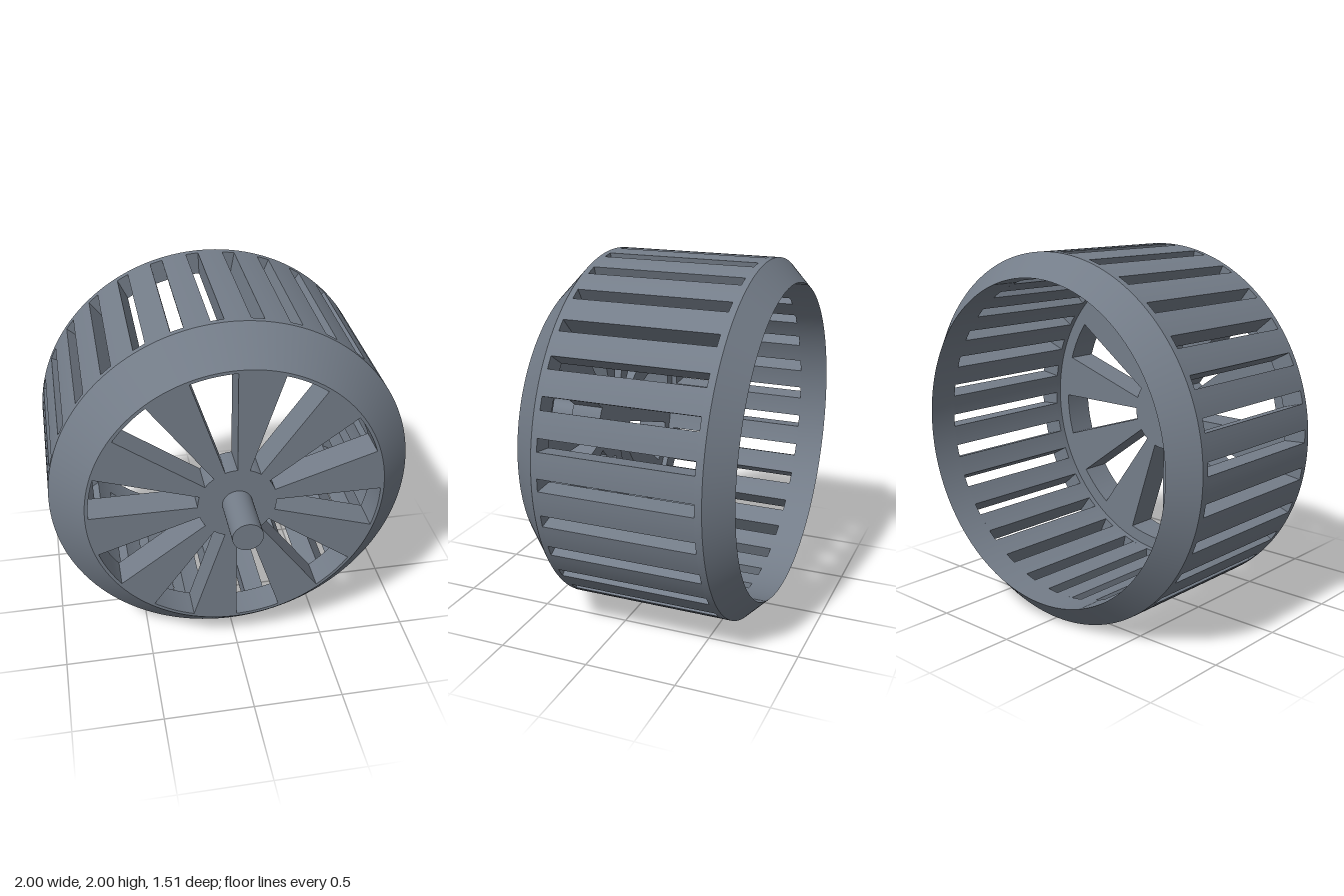
import * as THREE from 'three';
import { toCreasedNormals } from 'three/addons/utils/BufferGeometryUtils.js';

const STEP = 2; // degrees per facet, shared so that all round parts line up
const material = new THREE.MeshStandardMaterial({ color: 0x747d89 });

// Points along an arc, angles in degrees
function arc(r, from, to) {
  const n = Math.round(Math.abs(to - from) / STEP);
  return Array.from({ length: n + 1 }, (_, i) => {
    const a = THREE.MathUtils.degToRad(from + ((to - from) * i) / n);
    return new THREE.Vector2(r * Math.cos(a), r * Math.sin(a));
  });
}

// Outline of a ring sector; the inner arc may start at its own angle
const sector = (r0, r1, a0, a1, innerStart = a0) => [...arc(r1, a0, a1), ...arc(r0, a1, innerStart)];

function addMesh(parent, name, geometry) {
  const mesh = new THREE.Mesh(toCreasedNormals(geometry, 0.5), material);
  mesh.name = name;
  parent.add(mesh);
  return mesh;
}

// Flat outline extruded along z between two depths
function extrude(shape, z0, z1) {
  return new THREE.ExtrudeGeometry(shape, { depth: z1 - z0, bevelEnabled: false }).translate(0, 0, z0);
}

// Profile of [radius, z] pairs turned about the z axis
function turn(profile) {
  const points = profile.map(([r, z]) => new THREE.Vector2(r, z));
  return new THREE.LatheGeometry(points, 360 / STEP).rotateX(Math.PI / 2);
}

export function createModel() {
  const wheel = new THREE.Group();
  wheel.name = 'slottedWheel';

  const outer = 1, inner = 0.875;
  const slotBack = -0.592, slotFront = 0.247;
  const discBack = 0.28, discFront = 0.46, discRadius = 0.82;

  // Chamfered rims at both ends of the drum
  addMesh(wheel, 'frontRim', turn([
    [discRadius, discBack], [inner, discBack], [inner, slotFront],
    [outer, slotFront], [outer, discBack], [discRadius, discFront],
  ]));
  addMesh(wheel, 'backRim', turn([
    [inner, slotBack], [inner, -0.755], [outer, -0.63], [outer, slotBack], [inner, slotBack],
  ]));

  // Drum wall: 30 curved slats; the straight slots between them have parallel sides
  const slats = new THREE.Group();
  slats.name = 'drumSlats';
  wheel.add(slats);
  for (let i = 0; i < 30; i++) {
    const shape = new THREE.Shape(sector(inner, outer, 12 * i, 12 * i + 8, 12 * i + 0.59));
    addMesh(slats, 'slat', extrude(shape, slotBack, slotFront));
  }

  // Front disc: ten wedge windows leave ten spokes and a hub
  const disc = new THREE.Shape(arc(discRadius, 0, 360 - STEP));
  for (let i = 0; i < 10; i++) {
    disc.holes.push(new THREE.Path(sector(0.217, 0.802, 36 * i + 18, 36 * i + 36)));
  }
  addMesh(wheel, 'spokedDisc', extrude(disc, discBack, discFront));

  // Axle stub on the front of the hub
  const length = 0.755 - discFront;
  const axle = new THREE.CylinderGeometry(0.083, 0.083, length, 48).rotateX(Math.PI / 2);
  addMesh(wheel, 'axle', axle).position.z = discFront + length / 2;

  wheel.position.y = 1;
  const model = new THREE.Group();
  model.add(wheel);
  return model;
}
